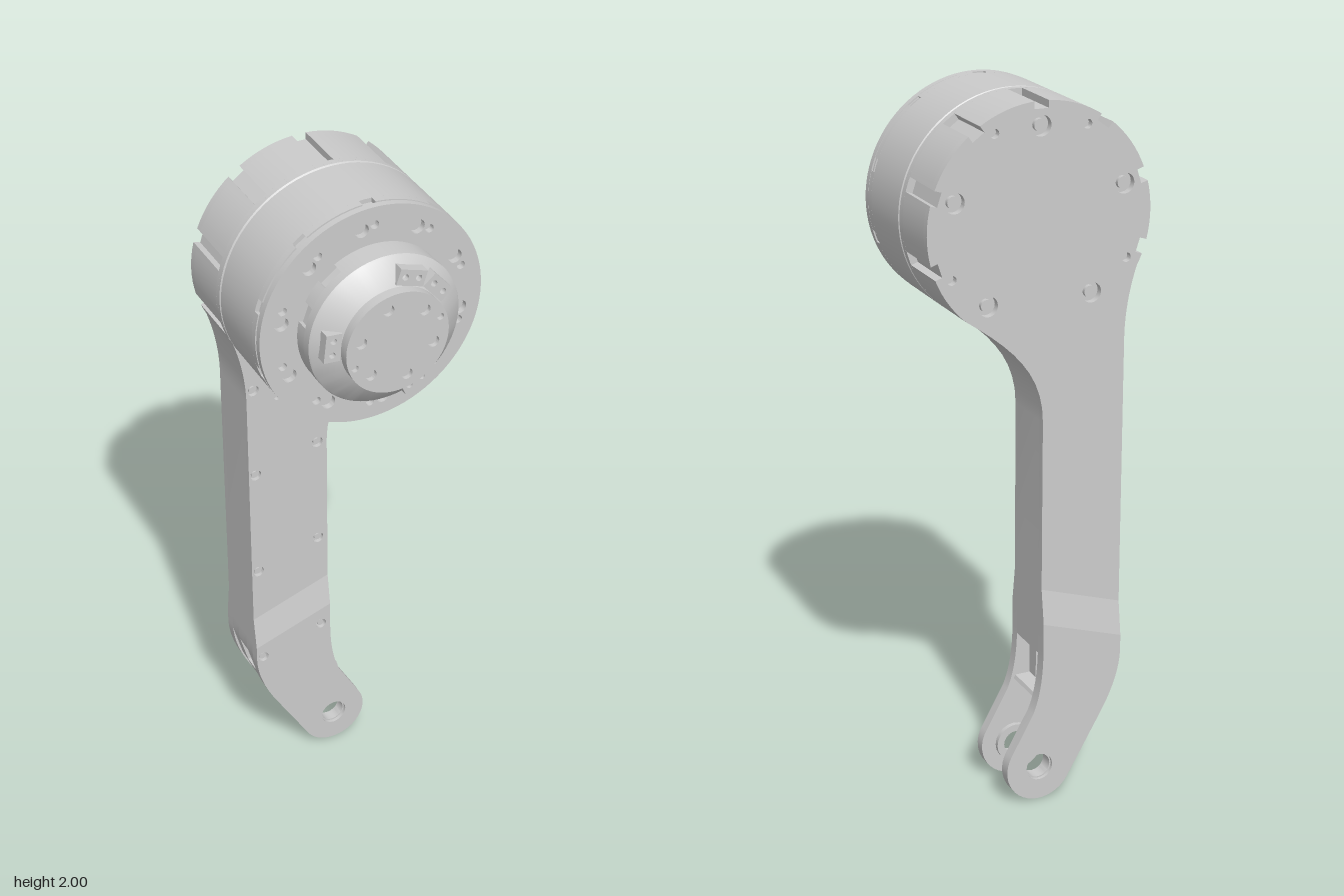
import * as THREE from 'three';
import { toCreasedNormals } from 'three/addons/utils/BufferGeometryUtils.js';

const CY = 1.68; // height of the motor axis
const R = 0.32;
const rad = THREE.MathUtils.degToRad;
const mat = new THREE.MeshStandardMaterial({ color: 0xcccccc });

const every = (n, start) => Array.from({ length: n }, (_, i) => start + (i * 360) / n);
const polar = (r, deg, cy = CY) => [r * Math.cos(rad(deg)), cy + r * Math.sin(rad(deg))];
const poly = (pts) => new THREE.Shape(pts.map((p) => new THREE.Vector2(...p)));

// Arc about the motor axis, with square notches cut at the given angles
function notchedArc(r, from, to, angles = [], half = 0.02, depth = 0.02) {
  const pts = [];
  const w = THREE.MathUtils.radToDeg(Math.asin(half / r));
  const wi = THREE.MathUtils.radToDeg(Math.asin(half / (r - depth)));
  const run = (a, b) => {
    const n = Math.max(1, Math.ceil((b - a) / 4));
    for (let i = 0; i <= n; i++) pts.push(polar(r, a + ((b - a) * i) / n));
  };
  let a = from;
  for (const c of [...angles].sort((p, q) => p - q)) {
    run(a, c - w);
    pts.push(polar(r - depth, c - wi), polar(r - depth, c + wi));
    a = c + w;
  }
  run(a, to);
  return pts;
}

function disc(r, angles, half, depth) {
  const start = angles ? Math.min(...angles) - 15 : 0;
  const pts = notchedArc(r, start, start + 360, angles, half, depth);
  pts.pop();
  return poly(pts);
}

function drill(shape, centres, r) {
  for (const [x, y] of centres) shape.holes.push(new THREE.Path().absarc(x, y, r, 0, Math.PI * 2, true));
  return shape;
}

export function createModel() {
  const group = new THREE.Group();
  const add = (name, geo, parent = group) => {
    const m = new THREE.Mesh(geo, mat);
    m.name = name;
    parent.add(m);
    return m;
  };
  const slab = (name, shape, z0, z1) => {
    const g = new THREE.ExtrudeGeometry(shape, { depth: z1 - z0, bevelEnabled: false, curveSegments: 10 });
    return add(name, toCreasedNormals(g.translate(0, 0, z0), 0.5));
  };
  const screws = (name, centres, r, z0, z1) => {
    for (const [x, y] of centres)
      add(name, new THREE.CylinderGeometry(r, r, z1 - z0, 16).rotateX(Math.PI / 2).translate(x, y, (z0 + z1) / 2));
  };
  const turned = (name, profile) => {
    const g = new THREE.LatheGeometry(profile.map((p) => new THREE.Vector2(...p)), 80);
    add(name, toCreasedNormals(g.rotateX(Math.PI / 2), 0.4).translate(0, CY, 0));
  };

  // Upper arm and motor housing, in three layers so holes and notches have floors
  const upper = (notches) => {
    const s = poly(notchedArc(R, -48, 208, notches));
    s.quadraticCurveTo(-0.25, 1.43, -0.25, 1.33);
    s.lineTo(-0.25, 0.56);
    s.lineTo(-0.01, 0.64);
    s.lineTo(-0.01, 1.13);
    s.bezierCurveTo(-0.01, 1.27, 0.08, 1.35, ...polar(R, -48));
    return s;
  };
  const ribs = every(10, -18).filter((a) => a < 200);
  const bores = every(5, 18).map((a) => polar(0.255, a));
  const pins = [62, 118, -26, 206].map((a) => polar(0.28, a));
  const armScrews = [[-0.23, 1.365], [0.035, 1.325], [-0.23, 1.08], [-0.04, 1.13], [-0.23, 0.735], [-0.04, 0.79]];
  const dots = [[-0.16, 1.32], [-0.07, 1.29]];
  slab('housingBack', drill(drill(upper(ribs), bores, 0.028), pins, 0.013), -0.27, -0.25);
  slab('armCore', upper(ribs), -0.25, -0.112);
  slab('armFront', drill(drill(upper(), armScrews, 0.017), dots, 0.008), -0.112, -0.1);
  screws('backScrew', bores, 0.017, -0.262, -0.25);
  screws('armScrew', armScrews, 0.01, -0.113, -0.104);

  // Flared shoulder between the arm and the fork
  const flare = new THREE.ExtrudeGeometry(poly([[0.085, 0.5], [0.285, 0.5], [0.27, 0.6], [0.1, 0.6]]),
    { depth: 0.24, bevelEnabled: false });
  flare.rotateY(Math.PI / 2).translate(-0.25, 0, 0);
  const p = flare.attributes.position;
  for (let i = 0; i < p.count; i++) p.setY(i, p.getY(i) + (p.getX(i) + 0.13) / 3);
  flare.computeVertexNormals();
  add('forkShoulder', flare);

  // Fork cheeks
  const pivot = [[0, 0.1]];
  const cheek = () => {
    const s = new THREE.Shape();
    s.moveTo(-0.01, 0.54);
    s.lineTo(-0.25, 0.46);
    s.lineTo(-0.25, 0.42);
    s.quadraticCurveTo(-0.25, 0.335, -0.19, 0.23);
    s.absarc(0, 0.1, 0.1, rad(211), rad(390), false);
    s.lineTo(0.02, 0.27);
    s.quadraticCurveTo(-0.01, 0.34, -0.01, 0.46);
    return drill(s, pivot, 0.04);
  };
  const forkScrews = [[-0.229, 0.42], [-0.04, 0.475]];
  slab('forkFrontCheek', drill(cheek(), forkScrews, 0.016), -0.115, -0.085);
  slab('forkBackCheek', cheek(), -0.285, -0.25);
  screws('forkScrew', forkScrews, 0.01, -0.116, -0.09);
  const boss = () => drill(new THREE.Shape().absarc(0, 0.1, 0.057, 0, Math.PI * 2, false), pivot, 0.036);
  slab('pivotBoss', boss(), -0.128, -0.095);
  slab('pivotBoss', boss(), -0.275, -0.235);

  // Web between the cheeks, pocketed at the front edge and pierced by a window
  const webTop = [[-0.05, 0.4], [-0.05, 0.44], [-0.01, 0.44], [-0.01, 0.54], [-0.25, 0.46], [-0.25, 0.42], [-0.247, 0.4]];
  const webFoot = [[-0.223, 0.31], [-0.19, 0.23], [-0.172, 0.2], [-0.14, 0.243], [-0.1, 0.273], [-0.05, 0.294], [0, 0.3], [-0.005, 0.31]];
  const webSide = poly([...webTop, ...webFoot, [-0.05, 0.31]]);
  slab('forkWeb', webSide, -0.25, -0.21);
  slab('forkWeb', webSide, -0.155, -0.115);
  slab('webWindowTop', poly(webTop), -0.21, -0.155);
  slab('webWindowFoot', poly(webFoot), -0.21, -0.155);

  // Motor can, with rim notches below the front ring
  turned('motorCan', [[0, 0.102], [R, 0.102], [R, -0.083], [0.316, -0.086], [0.316, -0.089], [R, -0.092], [R, -0.108], [0, -0.108]].reverse());
  slab('canRim', disc(R, every(10, 18), 0.018, 0.012), 0.102, 0.122);
  turned('rimGroove', [[0, 0.12], [0.315, 0.12], [0.315, 0.127], [0, 0.127]]);
  const ring = disc(R - 0.001);
  drill(ring, every(10, 25).map((a) => polar(0.262, a)), 0.02);
  drill(ring, every(10, 17).map((a) => polar(0.268, a)), 0.012);
  slab('frontRing', ring, 0.126, 0.145);

  // Output hub with side recesses and chamfered nose
  slab('hubBase', disc(0.214, [-17, 128, 160], 0.028, 0.012), 0.14, 0.183);
  turned('hub', [[0, 0.183], [0.215, 0.183], [0.215, 0.211], [0.211, 0.216], [0.146, 0.254], [0, 0.254]]);
  const face = drill(disc(0.146), every(6, 45).map((a) => polar(0.107, a)), 0.016);
  drill(face, [[0.121, 1.722], [-0.121, 1.638]], 0.01);
  turned('outputBase', [[0, 0.25], [0.146, 0.25], [0.146, 0.27], [0, 0.27]]);
  slab('outputFace', face, 0.27, 0.283);

  // Clamp pads around the nose
  for (const a of [72, 41, 174, -66]) {
    const pad = poly([[0.147, -0.04], [0.192, -0.04], [0.192, 0.04], [0.147, 0.04]]);
    const m = slab('clampPad', drill(pad, [[0.17, -0.02], [0.17, 0.02]], 0.009), 0.205, 0.256);
    m.position.y = CY;
    m.rotation.z = rad(a);
  }
  return group;
}
